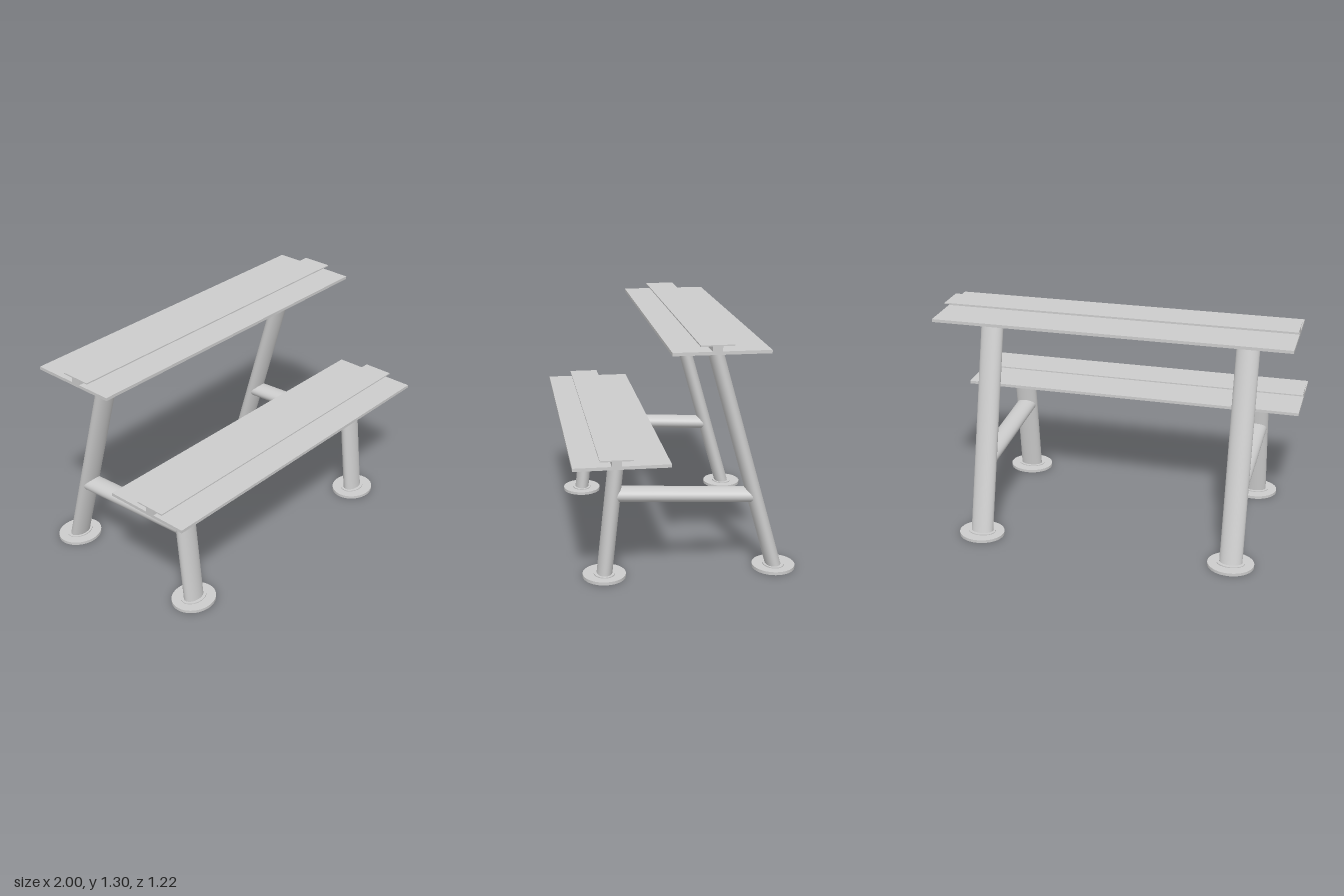
import * as THREE from 'three';

const material = new THREE.MeshStandardMaterial({ color: 0xcccccc });
const SEGMENTS = 48;

function addMesh(parent, name, geometry, x, y, z) {
  const mesh = new THREE.Mesh(geometry, material);
  mesh.name = name;
  mesh.position.set(x, y, z);
  parent.add(mesh);
}

// Flat oval disc between two heights
function addDisc(parent, name, rx, rz, y0, y1, z) {
  const geometry = new THREE.CylinderGeometry(1, 1, y1 - y0, SEGMENTS);
  geometry.scale(rx, 1, rz);
  addMesh(parent, name, geometry, 0, (y0 + y1) / 2, z);
}

// Oval tube leaning in z, with its ends cut level
function leaningTube(rx, rz, height, lean) {
  const geometry = new THREE.CylinderGeometry(rx, rx, height, SEGMENTS);
  geometry.scale(1, 1, rz / rx);
  const shear = new THREE.Matrix4().set(
    1, 0, 0, 0,
    0, 1, 0, 0,
    0, lean / height, 1, 0,
    0, 0, 0, 1
  );
  return geometry.applyMatrix4(shear);
}

// Post with its foot plate, collar and top flange
function addPost(parent, name, { zFoot, zTop, top, flangeX, flangeZ }) {
  const post = new THREE.Group();
  post.name = name;
  addDisc(post, 'footPlate', 0.131, 0.116, 0, 0.017, zFoot);
  addDisc(post, 'footCollar', 0.08, 0.058, 0.017, 0.022, zFoot);
  const y0 = 0.01;
  addMesh(post, 'tube', leaningTube(0.065, 0.042, top - y0, zTop - zFoot), 0, (top + y0) / 2, (zFoot + zTop) / 2);
  addDisc(post, 'topFlange', flangeX, flangeZ, top - 0.01, top, zTop);
  parent.add(post);
}

// Long plank carrying a T-shaped rail
function addPlank(parent, name, y, z, railZ) {
  const plank = new THREE.Group();
  plank.name = name;
  plank.position.y = y;
  addMesh(plank, 'board', new THREE.BoxGeometry(2, 0.017, 0.502), 0, 0.0085, z);
  addMesh(plank, 'railWeb', new THREE.BoxGeometry(2, 0.027, 0.052), 0, 0.0295, railZ);
  addMesh(plank, 'railCap', new THREE.BoxGeometry(2, 0.007, 0.172), 0, 0.0465, railZ);
  parent.add(plank);
}

export function createModel() {
  const model = new THREE.Group();
  model.name = 'twoTierStand';

  addPlank(model, 'lowerPlank', 0.677, 0.36, 0.387);
  addPlank(model, 'upperPlank', 1.247, -0.143, -0.118);

  for (const side of [-1, 1]) {
    const frame = new THREE.Group();
    frame.name = side > 0 ? 'leftFrame' : 'rightFrame';
    frame.position.x = side * 0.732;
    addPost(frame, 'frontPost', { zFoot: 0.433, zTop: 0.359, top: 0.677, flangeX: 0.112, flangeZ: 0.07 });
    addPost(frame, 'rearPost', { zFoot: -0.491, zTop: -0.147, top: 1.247, flangeX: 0.102, flangeZ: 0.064 });

    // Brace joining the two posts
    const brace = leaningTube(0.059, 0.041, 0.76, -0.041);
    brace.rotateX(Math.PI / 2);
    addMesh(frame, 'brace', brace.scale(1, 1, 1), 0, 0.44, 0.003);
    model.add(frame);
  }
  return model;
}
